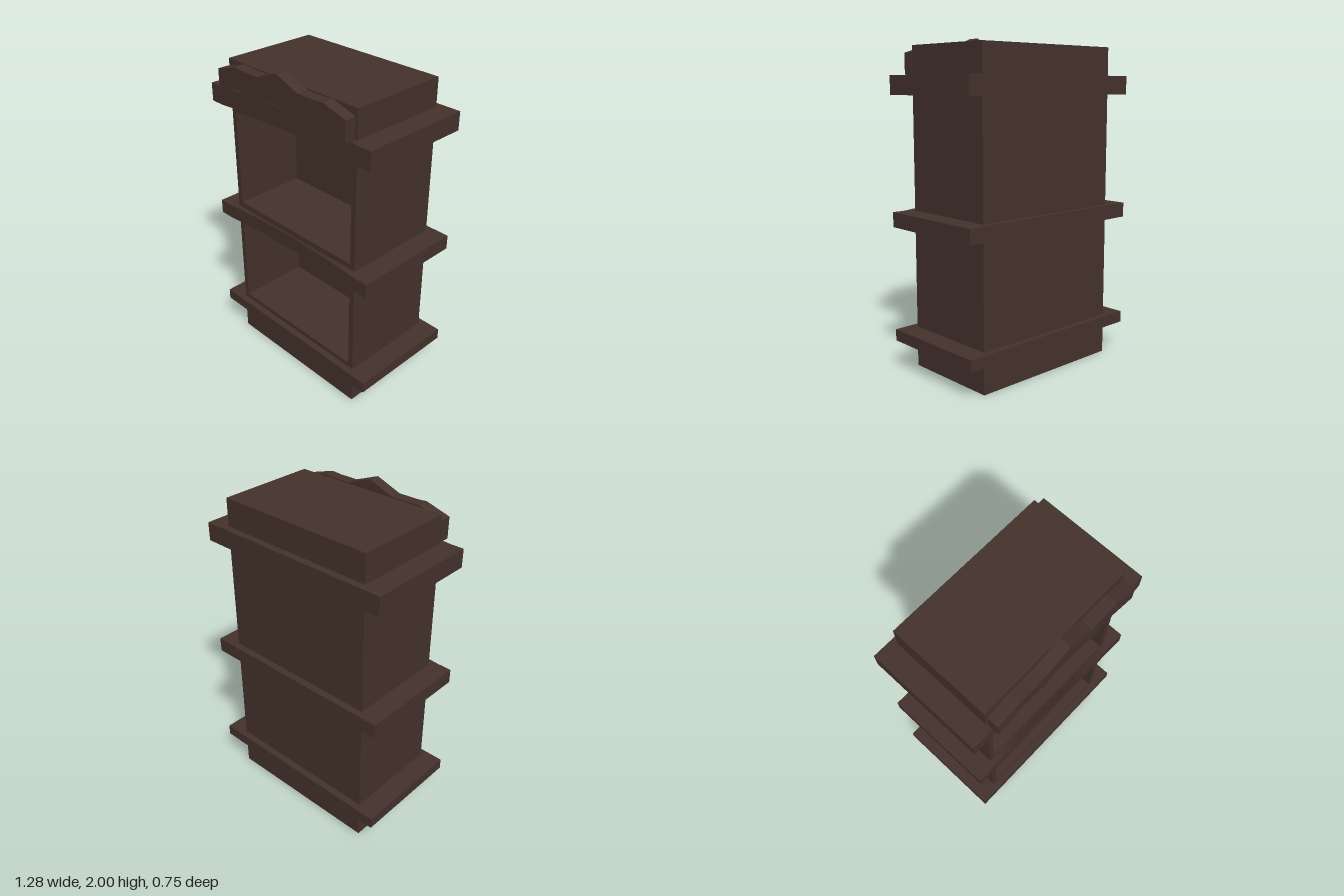
import * as THREE from 'three';

const wood = new THREE.MeshStandardMaterial({ color: 0x45322c, flatShading: true });

const FRONT = 0.29, BACK = -0.33, HALF = 0.51, HEIGHT = 1.94, RECESS = -0.17;

// Shallow arch, zero beyond the given half width
const arch = (x, half, rise) => rise * Math.max(0, 1 - (x / half) ** 2);

function add(group, name, geometry) {
  const mesh = new THREE.Mesh(geometry, wood);
  mesh.name = name;
  group.add(mesh);
  return mesh;
}

// Opening with flat floor and arched head
function opening(bottom, top) {
  const w = 0.475, path = new THREE.Path();
  path.moveTo(-w, bottom);
  path.lineTo(-w, top);
  for (let i = 1; i <= 8; i++) {
    const x = -w + (2 * w * i) / 8;
    path.lineTo(x, top + arch(x, w, 0.025));
  }
  path.lineTo(w, bottom);
  path.closePath();
  return path;
}

// Slab around the body, its front edge lifted in an arch
function ledge(y0, y1, rise) {
  const z0 = -0.373, z1 = 0.332;
  const g = new THREE.BoxGeometry(1.28, y1 - y0, z1 - z0, 14, 1, 2);
  g.translate(0, (y0 + y1) / 2, (z0 + z1) / 2);
  const p = g.attributes.position;
  const mid = (z0 + z1) / 2;
  for (let i = 0; i < p.count; i++) {
    const z = p.getZ(i);
    if (Math.abs(z - mid) < 0.01) p.setZ(i, FRONT);
    else if (z > mid) p.setY(i, p.getY(i) + arch(p.getX(i), 0.55, rise));
  }
  g.computeVertexNormals();
  return g;
}

export function createModel() {
  const group = new THREE.Group();
  group.name = 'bookcase';

  // Cabinet shell with two open compartments
  const face = new THREE.Shape([
    new THREE.Vector2(-HALF, 0), new THREE.Vector2(HALF, 0),
    new THREE.Vector2(HALF, HEIGHT), new THREE.Vector2(-HALF, HEIGHT),
  ]);
  face.holes.push(opening(0.28, 0.843), opening(1.005, 1.617));
  const shell = new THREE.ExtrudeGeometry(face, { depth: FRONT - RECESS, bevelEnabled: false });
  add(group, 'cabinetShell', shell).position.z = RECESS;

  // Solid back closing the compartments
  const back = new THREE.BoxGeometry(2 * HALF, HEIGHT, RECESS - BACK);
  add(group, 'cabinetBack', back).position.set(0, HEIGHT / 2, (RECESS + BACK) / 2);

  // Projecting ledges
  add(group, 'bottomLedge', ledge(0.18, 0.25, 0));
  add(group, 'middleLedge', ledge(0.88, 0.97, 0.025));
  add(group, 'topLedge', ledge(1.655, 1.768, 0.024));

  // Peaked crest standing in front of the top
  const top = [[0, 2], [0.16, 1.94], [0.28, 1.94], [0.35, 1.945], [0.505, 1.9]];
  const bottom = [[0.505, 1.772], [0.35, 1.816], [0.16, 1.806], [0, 1.838]];
  const half = [...top, ...bottom];
  const mirrored = half.slice(1, -1).reverse().map(([x, y]) => [-x, y]);
  const outline = [...half, ...mirrored].map(([x, y]) => new THREE.Vector2(x, y));
  const crest = new THREE.ExtrudeGeometry(new THREE.Shape(outline), { depth: 0.07, bevelEnabled: false });
  add(group, 'crest', crest).position.z = 0.303;

  return group;
}
